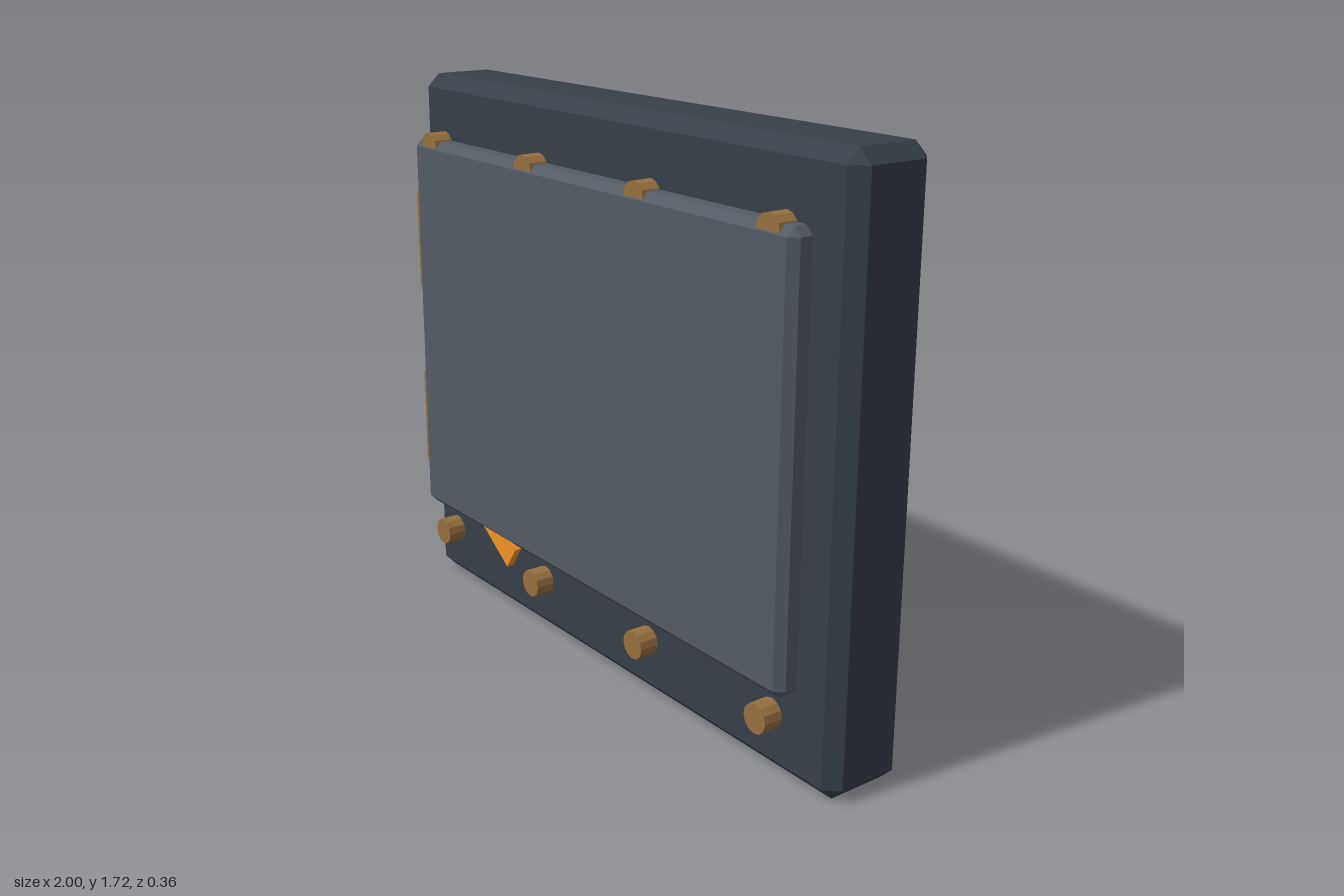
import * as THREE from 'three';
import { ConvexGeometry } from 'three/addons/geometries/ConvexGeometry.js';

const material = (color) => new THREE.MeshStandardMaterial({ color, flatShading: true });

// Box with every edge cut at 45 degrees and every corner cut to a triangle
function chamferedBox(w, h, d, c) {
  const points = [];
  for (const sx of [-1, 1]) for (const sy of [-1, 1]) for (const sz of [-1, 1]) {
    for (let axis = 0; axis < 3; axis++) {
      const inset = [c, c, c];
      inset[axis] = 0;
      points.push(new THREE.Vector3(
        sx * (w / 2 - inset[0]),
        sy * (h / 2 - inset[1]),
        sz * (d / 2 - inset[2])
      ));
    }
  }
  return new ConvexGeometry(points);
}

export function createModel() {
  const model = new THREE.Group();
  model.name = 'wallPanel';

  const dark = material(0x373f48);
  const grey = material(0x535b64);
  const bronze = material(0x97703f);
  const orange = material(0xf09426);

  const add = (name, geometry, mat, x, y, z) => {
    const mesh = new THREE.Mesh(geometry, mat);
    mesh.name = name;
    mesh.position.set(x, y, z);
    model.add(mesh);
    return mesh;
  };

  // Thick backing slab and the thinner door in front of it
  add('backPlate', chamferedBox(2, 1.72, 0.262, 0.04), dark, 0, 0.86, -0.05);
  add('frontDoor', chamferedBox(1.79, 1.236, 0.086, 0.024), grey, 0, 0.915, 0.139);

  // Studs in two rows, above and below the door
  const studGeometry = new THREE.CylinderGeometry(0.043, 0.043, 0.06, 12).rotateX(Math.PI / 2);
  for (const y of [0.21, 1.515]) {
    for (let i = 0; i < 4; i++) {
      add('stud', studGeometry, bronze, -0.8 + i * 1.6 / 3, y, 0.148);
    }
  }

  // Hinge pins let into the door's edge
  const hingeGeometry = new THREE.CylinderGeometry(0.016, 0.016, 0.31, 12);
  for (const y of [0.605, 1.205]) add('hinge', hingeGeometry, bronze, -0.877, y, 0.166);

  // Slanted tab whose lower corner shows beneath the door
  const tab = add('tab', new THREE.BoxGeometry(0.32, 0.09, 0.023), orange, -0.514, 0.345, 0.161);
  tab.rotation.z = -0.61;

  return model;
}
